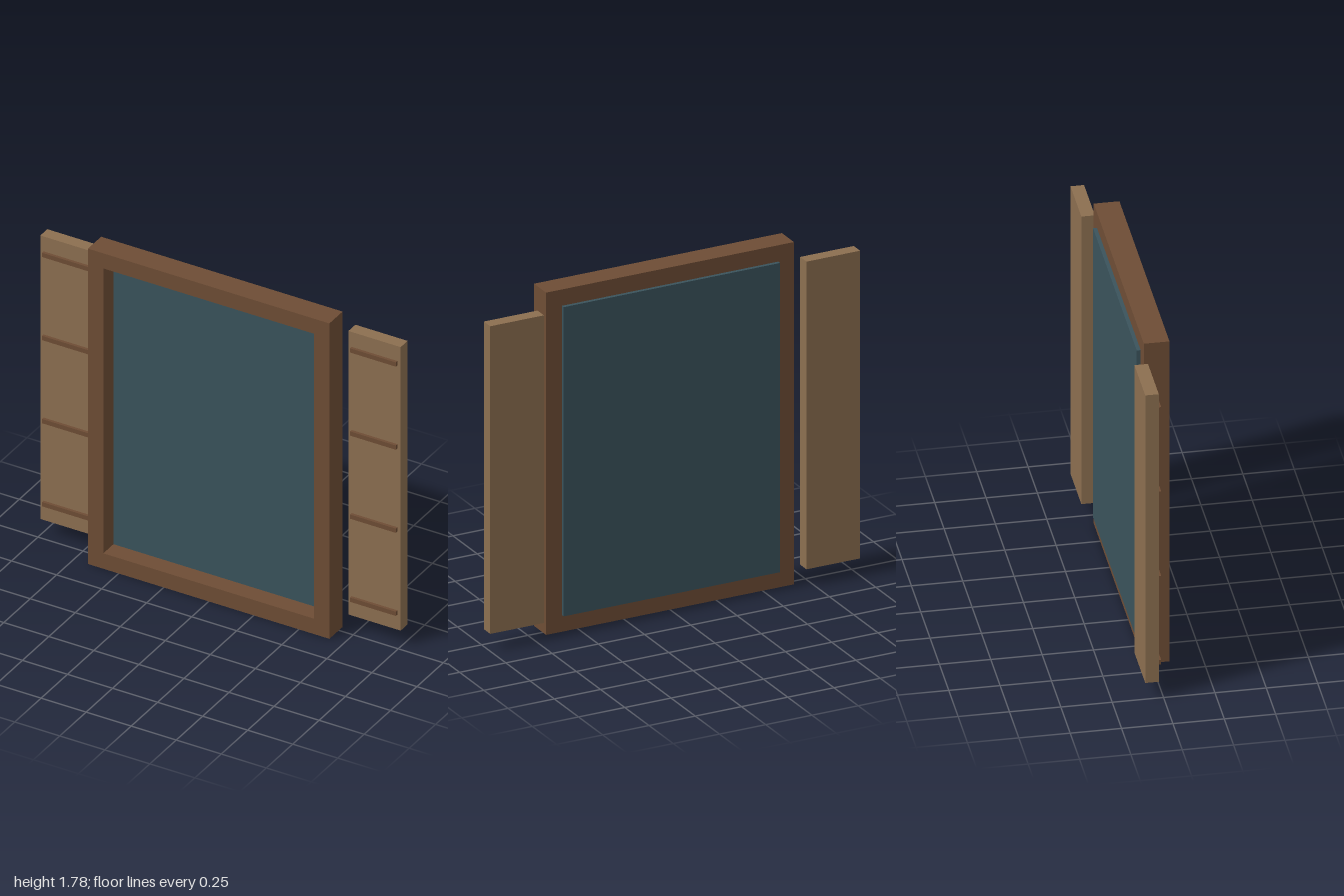
import * as THREE from 'three';

const frameWood = new THREE.MeshStandardMaterial({ color: 0x6e4d35 });
const shutterWood = new THREE.MeshStandardMaterial({ color: 0x8c6f50 });
const glass = new THREE.MeshStandardMaterial({ color: 0x3a535c });

// Box given by its low and high corners
function box(name, material, [x0, y0, z0], [x1, y1, z1]) {
  const mesh = new THREE.Mesh(new THREE.BoxGeometry(x1 - x0, y1 - y0, z1 - z0), material);
  mesh.position.set((x0 + x1) / 2, (y0 + y1) / 2, (z0 + z1) / 2);
  mesh.name = name;
  return mesh;
}

function rectangle(path, x, y0, y1) {
  return path.moveTo(-x, y0).lineTo(x, y0).lineTo(x, y1).lineTo(-x, y1).closePath();
}

export function createModel() {
  const model = new THREE.Group();
  model.name = 'shutteredWindow';

  // Frame with a rectangular opening
  const outline = rectangle(new THREE.Shape(), 0.67, 0, 1.78);
  outline.holes.push(rectangle(new THREE.Path(), 0.585, 0.087, 1.695));
  const frame = new THREE.Mesh(
    new THREE.ExtrudeGeometry(outline, { depth: 0.125, bevelEnabled: false }), frameWood);
  frame.position.z = -0.036;
  frame.name = 'frame';
  model.add(frame);

  // Pane, standing slightly proud of the frame's back
  model.add(box('pane', glass, [-0.585, 0.087, -0.055], [0.585, 1.695, -0.007]));

  // Shutters, each with four slats on the front
  for (const [side, name] of [[1, 'leftShutter'], [-1, 'rightShutter']]) {
    const shutter = new THREE.Group();
    shutter.name = name;
    shutter.position.x = side * 0.855;
    shutter.add(box('panel', shutterWood, [-0.145, 0.09, -0.089], [0.145, 1.69, -0.023]));
    for (let i = 0; i < 4; i++) {
      const y = 0.187 + i * 0.469;
      shutter.add(box('slat', frameWood, [-0.127, y - 0.012, -0.03], [0.127, y + 0.012, -0.008]));
    }
    model.add(shutter);
  }
  return model;
}
